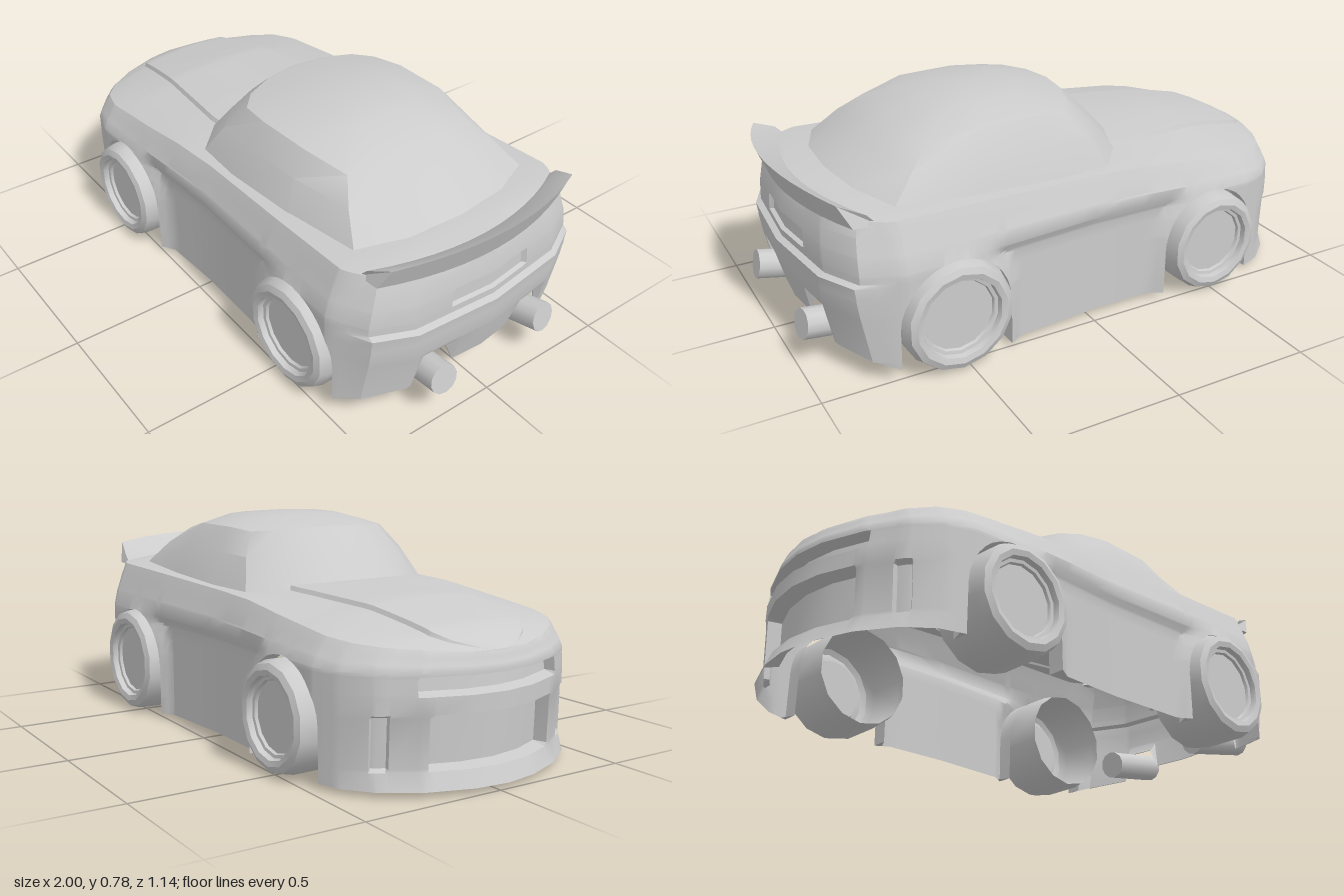
import * as THREE from 'three';
import { toCreasedNormals } from 'three/addons/utils/BufferGeometryUtils.js';

const material = new THREE.MeshStandardMaterial({ color: 0xcccccc, side: THREE.DoubleSide });
const clamp = THREE.MathUtils.clamp, lerp = THREE.MathUtils.lerp;

// Linear interpolation through [x, value] pairs
function interp(table, x) {
  if (x <= table[0][0]) return table[0][1];
  for (let i = 1; i < table.length; i++) {
    const [x1, y1] = table[i], [x0, y0] = table[i - 1];
    if (x <= x1) return lerp(y0, y1, (x - x0) / (x1 - x0));
  }
  return table[table.length - 1][1];
}

// Skin a grid of points: rows of equal length, empty triangles left out
function skin(rows, crease = 0.5) {
  const pos = [], t = new THREE.Triangle();
  const add = (a, b, c) => {
    t.set(a, b, c);
    if (t.getArea() > 1e-8) for (const p of [a, b, c]) pos.push(p.x, p.y, p.z);
  };
  for (let i = 0; i + 1 < rows.length; i++) {
    for (let j = 0; j + 1 < rows[i].length; j++) {
      const a = rows[i][j], b = rows[i][j + 1], c = rows[i + 1][j + 1], d = rows[i + 1][j];
      add(a, b, c);
      add(a, c, d);
    }
  }
  const g = new THREE.BufferGeometry();
  g.setAttribute('position', new THREE.Float32BufferAttribute(pos, 3));
  return toCreasedNormals(g, crease);
}

// Mirror a half row (front to rear, +z) into a full loop
const fullRow = half => [
  ...half.slice(1).reverse().map(p => new THREE.Vector3(p.x, p.y, -p.z)), ...half];

function mesh(name, geometry) {
  const m = new THREE.Mesh(geometry, material);
  m.name = name;
  return m;
}

// Wheel positions, plan outline and height profiles; the nose points to -x
const WHEELS = [
  { name: 'front', x: -0.484, r: 0.188, arch: 0.193 },
  { name: 'rear', x: 0.552, r: 0.197, arch: 0.2 }];
const OUTLINE = [[-1, 0], [-0.985, 0.12], [-0.93, 0.27], [-0.85, 0.39], [-0.76, 0.46], [-0.65, 0.495],
  [-0.4, 0.497], [0, 0.485], [0.4, 0.503], [0.73, 0.51], [0.875, 0.445], [0.94, 0.31], [0.97, 0]];
const SHOULDER = [[-0.98, 0.425], [-0.77, 0.455], [-0.2, 0.52], [0.4, 0.545], [0.9, 0.56]];
const CENTRE = [[-0.97, 0.425], [-0.85, 0.48], [-0.58, 0.535], [-0.3, 0.55], [0, 0.555], [0.8, 0.58], [0.93, 0.57]];
const BONNET_LINE = [[-0.93, 0.175], [-0.23, 0.267]];

// Lower edge of the body: sills, wheel arches, rear bumper with exhaust notches
function lowerEdge(x, z) {
  for (const w of WHEELS) {
    const d = Math.abs(x - w.x);
    if (d <= w.arch) return 0.195 + Math.sqrt(w.arch ** 2 - d * d);
  }
  if (x < 0.7) return 0.02;
  if (x > 0.9 && z < 0.14) return 0.125;
  if (x > 0.9 && z < 0.285) return 0.2;
  return 0.055 + (x - 0.76) * 0.2;
}

// Depth of the door panel, set in between the flared wheel arches
function doorInset(x, y) {
  if (x < WHEELS[0].x || x > WHEELS[1].x) return 0;
  const gaps = WHEELS.map(w => Math.hypot(x - w.x, Math.max(y - 0.195, 0)) - w.arch - 0.002);
  return 0.028 * clamp(Math.min(...gaps) / 0.05, 0, 1) * clamp((0.41 - y) / 0.05, 0, 1);
}

function bodyGeometry() {
  // Stations along the plan outline, tight at arches, notches and grille edges
  const stations = OUTLINE.map(p => p[0]);
  for (let m = -0.7; m < 0.75; m += 0.1) stations.push(m);
  for (const w of WHEELS) {
    for (let i = 0; i <= 16; i++) stations.push(w.x - Math.cos(Math.PI * i / 16) * w.arch * 0.99999);
    for (const gap of [0.002, 0.027, 0.053]) stations.push(w.x - w.arch - gap, w.x + w.arch + gap);
  }
  for (const z of [0.29, 0.275, 0.17, 0.155, 0.125]) stations.push(0.97 - 0.03 * z / 0.31);
  stations.push(-0.943, -0.938, -0.925, -0.92, -0.875, -0.87, -0.84, -0.835);
  stations.sort((a, b) => a - b);

  const inArch = m => WHEELS.some(w => Math.abs(m - w.x) < w.arch + 0.003);
  const shift = (m, xf, xr) => m + (xf + 1) * clamp((-m - 0.7) / 0.2, 0, 1) + (xr - 0.97) * clamp((m - 0.76) / 0.12, 0, 1);
  const rows = [];

  // Lower walls: height, foremost x, rearmost x
  const low = [[0, -1, 0.92], [0.075, -0.975, 0.925], [0.085, -0.975, 0.925], [0.24, -0.98, 0.955], [0.25, -0.985, 0.957],
    [0.305, -0.985, 0.965], [0.315, -0.985, 0.965], [0.355, -0.98, 0.97], [0.365, -0.98, 0.95]];
  low.forEach(([rowY, xf, xr], i) => rows.push(stations.map(m => {
    let z = interp(OUTLINE, m), x = shift(m, xf, xr);
    const y = Math.max(rowY, lowerEdge(m, z));
    if (i === 2 || i === 3) {
      if (m < -0.94) x += 0.05;                        // grille
      if (m > -0.872 && m < -0.838) { x += 0.015; z -= 0.012; } // side vent
    }
    if ((i === 6 || i === 7) && m < -0.922) x += 0.045;  // lamp slot
    return new THREE.Vector3(x, y, Math.max(0, z - doorInset(x, y)));
  })));
  // Inward lip of the wheel arches
  rows.unshift(rows[0].map((p, j) => new THREE.Vector3(p.x, p.y, p.z - (inArch(stations[j]) ? 0.06 : 0))));

  // Upper walls: fraction up to the shoulder, width scale, foremost x, rearmost x
  const high = [[0.12, 1, -0.98, 0.95], [0.15, 0.998, -0.98, 0.95], [0.42, 0.975, -0.975, 0.948],
    [0.46, 0.968, -0.973, 0.947], [0.75, 0.93, -0.968, 0.94], [1, 0.89, -0.96, 0.925]];
  high.forEach(([f, s, xf, xr], i) => rows.push(stations.map(m => {
    const z = interp(OUTLINE, m);
    let x = shift(m, xf, xr);
    if ((i === 1 || i === 2) && m > 0.9 && z < 0.165) x -= 0.014; // plate recess
    const y = Math.max(lerp(0.365, interp(SHOULDER, x), f), lowerEdge(m, z));
    return new THREE.Vector3(x, y, z * s - doorInset(x, y));
  })));

  // Bonnet and boot lid, with a raised bonnet centre between two straight lines
  for (const k of [0.93, 0.8, 0.63, 0.61, 0.3, 0]) {
    rows.push(stations.map(m => {
      const x = shift(m, -0.96, 0.925), sh = interp(SHOULDER, x);
      const w = interp(OUTLINE, m) * 0.89;
      const z = k < 0.64 ? Math.min(w * k, interp(BONNET_LINE, x) * k / 0.62) : w * k;
      const bulge = k < 0.62 && x < 0 ? 0.014 * clamp((x + 0.95) / 0.12, 0, 1) : 0;
      const across = w > 0 ? z / w : 0;
      return new THREE.Vector3(x, lerp(sh, interp(CENTRE, x), 1 - across ** 2) + bulge, z);
    }));
  }
  return skin(rows.map(fullRow));
}

// Cabin: rings from the window base up to the roof centre
function cabinGeometry() {
  const base = [[-0.28, 0.545, 0], [-0.26, 0.54, 0.15], [-0.2, 0.535, 0.28], [-0.1, 0.525, 0.39], [0.1, 0.53, 0.41],
    [0.4, 0.54, 0.407], [0.7, 0.555, 0.375], [0.765, 0.575, 0.2], [0.785, 0.58, 0]];
  const roof = [[-0.085, 0.74, 0], [-0.07, 0.738, 0.12], [-0.03, 0.73, 0.23], [0.03, 0.725, 0.29], [0.15, 0.735, 0.308],
    [0.36, 0.735, 0.305], [0.53, 0.705, 0.262], [0.548, 0.72, 0.14], [0.553, 0.724, 0]];
  const vec = a => a.map(p => new THREE.Vector3(...p));
  const b = vec(base), r = vec(roof), top = new THREE.Vector3(0.25, 0.782, 0);
  const mid = b.map((p, i) => p.clone().lerp(r[i], 0.55).multiply(new THREE.Vector3(1, 1.01, 1.025)));
  const inner = r.map(p => new THREE.Vector3(lerp(p.x, 0.25, 0.45), lerp(p.y, 0.782, 0.75), p.z * 0.6));
  return skin([b, mid, r, inner, r.map(() => top)].map(fullRow), 0.5);
}

// Upswept tail spoiler, curved in plan, its ends leaning out into the body sides
function spoilerGeometry() {
  const profile = [[0.86, 0.54], [0.945, 0.545], [0.985, 0.645], [0.9, 0.583], [0.86, 0.54]];
  const rows = [];
  for (let i = -6; i <= 6; i++) {
    const u = i / 6, c = u * u;
    rows.push(profile.map(([x, y]) => new THREE.Vector3(
      x - 0.09 * c, y - (y > 0.6 ? 0.022 * c : 0), u * (y > 0.6 ? 0.395 : 0.42))));
  }
  const cap = row => row.map(() => row[0]);
  return skin([cap(rows[0]), ...rows, cap(rows[12])]);
}

// Tyre with bevelled shoulder and recessed rim, open on the inner side
function wheelGeometry(r) {
  const profile = [[r * 0.96, 0.31], [r, 0.35], [r, 0.5], [r * 0.94, 0.535], [r * 0.83, 0.545], [r * 0.73, 0.54],
    [r * 0.71, 0.52], [r * 0.65, 0.518], [r * 0.63, 0.508], [0, 0.508]].map(p => new THREE.Vector2(...p));
  return toCreasedNormals(new THREE.LatheGeometry(profile, 14).rotateX(Math.PI / 2), 0.55);
}

export function createModel() {
  const car = new THREE.Group();
  car.name = 'car';
  car.rotation.y = 0.034;
  car.add(mesh('body', bodyGeometry()), mesh('cabin', cabinGeometry()), mesh('spoiler', spoilerGeometry()));

  for (const side of [1, -1]) {
    const label = side > 0 ? 'Left' : 'Right';
    for (const w of WHEELS) {
      const wheel = mesh(w.name + 'Wheel' + label, wheelGeometry(w.r));
      wheel.position.set(w.x, w.r + 0.002, 0);
      if (side < 0) wheel.rotation.y = Math.PI;
      car.add(wheel);
    }
    // Exhaust pipe, rising to the rear
    const a = new THREE.Vector3(0.72, 0.105, 0.21 * side), b = new THREE.Vector3(0.985, 0.155, 0.232 * side);
    const pipe = mesh('exhaust' + label, new THREE.CylinderGeometry(0.053, 0.053, a.distanceTo(b), 12));
    pipe.position.copy(a).lerp(b, 0.5);
    pipe.quaternion.setFromUnitVectors(new THREE.Vector3(0, 1, 0), b.clone().sub(a).normalize());
    car.add(pipe);
  }
  return car;
}
